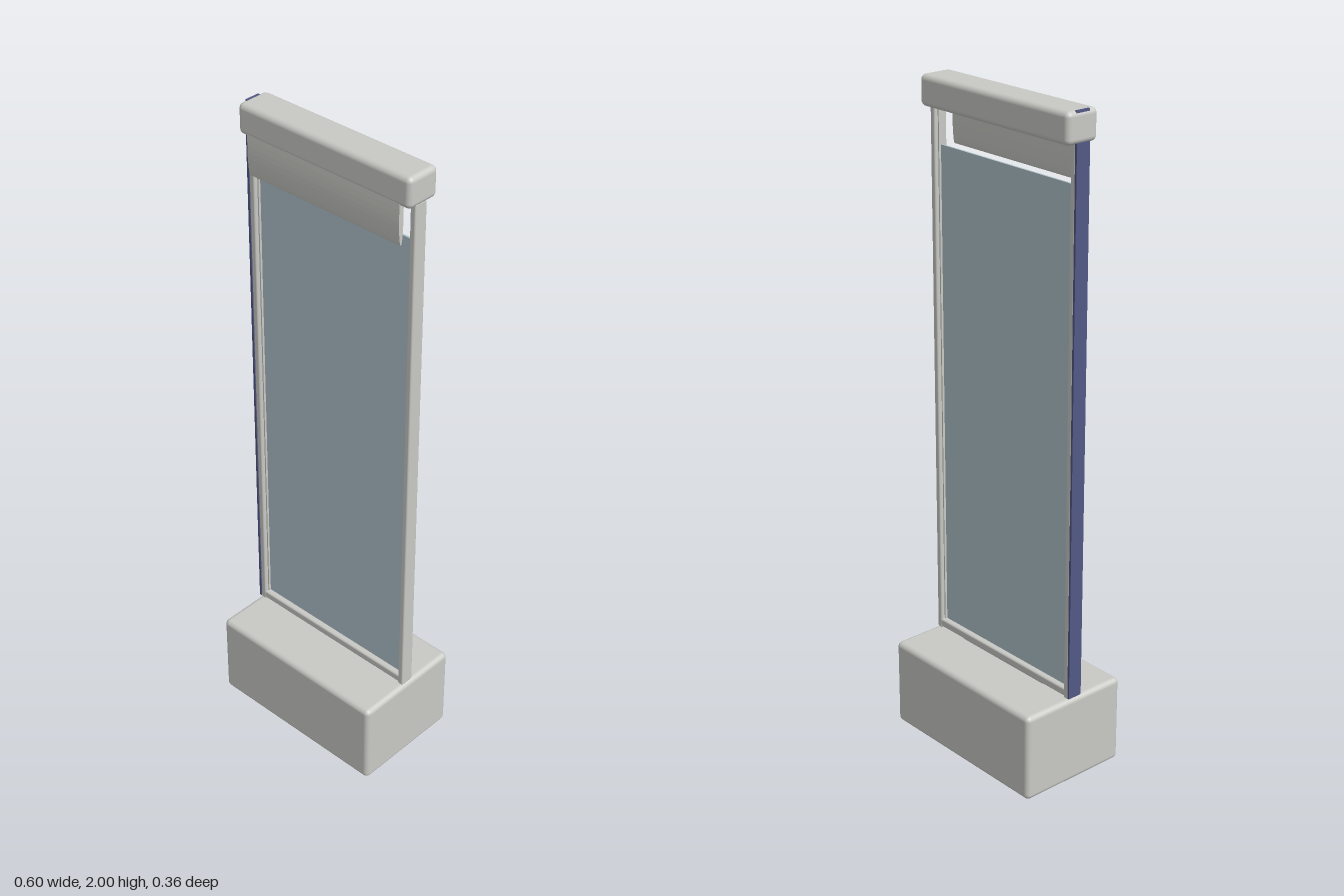
import * as THREE from 'three';
import { RoundedBoxGeometry } from 'three/addons/geometries/RoundedBoxGeometry.js';

export function createModel() {
  const model = new THREE.Group();
  const material = (name, color) => {
    const m = new THREE.MeshStandardMaterial({ color });
    m.name = name;
    return m;
  };
  const stone = material('pale grey', 0xc8c8c4);
  const glassBlue = material('glass blue', 0xb0c3cb);
  const navy = material('navy', 0x525885);

  const add = (name, geometry, mat, x = 0, y = 0, z = 0) => {
    const mesh = new THREE.Mesh(geometry, mat);
    mesh.name = name;
    mesh.position.set(x, y, z);
    model.add(mesh);
    return mesh;
  };

  // Heavy foot and top housing
  add('base', new RoundedBoxGeometry(0.604, 0.275, 0.362, 4, 0.016), stone, 0, 0.1375, 0);
  add('topHousing', new RoundedBoxGeometry(0.604, 0.09, 0.107, 4, 0.016), stone, 0, 1.955, -0.001);

  // Frame: side posts, each with a slim inner bead, and the bottom rail
  for (const side of [-1, 1]) {
    add('sidePost', new RoundedBoxGeometry(0.019, 1.64, 0.044, 2, 0.005), stone, side * 0.2865, 1.095, 0);
    add('innerBead', new THREE.BoxGeometry(0.006, 1.61, 0.02), stone, side * 0.276, 1.11, 0);
  }
  add('bottomRail', new RoundedBoxGeometry(0.59, 0.026, 0.042, 2, 0.006), stone, 0, 0.292, 0);
  add('railFoot', new THREE.BoxGeometry(0.36, 0.014, 0.03), stone, 0, 0.277, 0);

  // Glass pane, ending below the housing
  add('glassPane', new THREE.BoxGeometry(0.556, 1.496, 0.006), glassBlue, 0, 1.05, 0);

  // Folded blind hanging in front: a narrow loop swept across the width
  const loop = new THREE.Shape();
  loop.moveTo(0.036, 1.92);
  loop.bezierCurveTo(0.034, 1.87, 0.036, 1.797, 0.043, 1.795);
  loop.bezierCurveTo(0.05, 1.797, 0.054, 1.86, 0.051, 1.92);
  loop.closePath();
  const blind = new THREE.ExtrudeGeometry(loop, { depth: 0.536, bevelEnabled: false, curveSegments: 10 });
  blind.rotateY(-Math.PI / 2);
  add('foldedBlind', blind, stone, 0.268, 0, 0);

  // Dark edging on the right side, with its end showing on the housing
  add('edgeStrip', new THREE.BoxGeometry(0.007, 1.635, 0.046), navy, -0.2985, 1.0975, 0);
  add('edgeStripEnd', new THREE.BoxGeometry(0.007, 0.04, 0.046), navy, -0.2955, 1.98, 0);

  return model;
}
